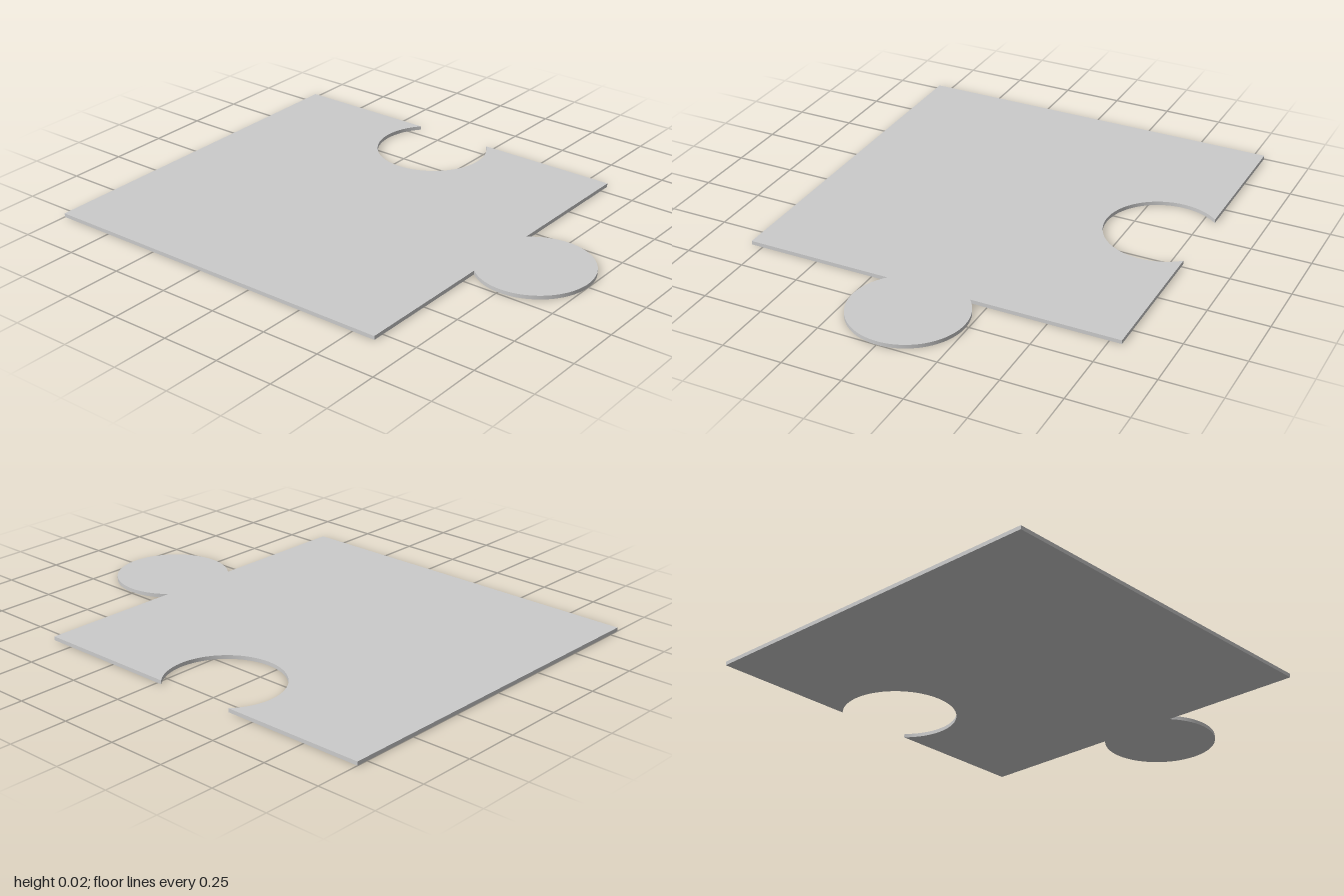
import * as THREE from 'three';
import { toCreasedNormals } from 'three/addons/utils/BufferGeometryUtils.js';

const HALF = 0.8;        // half the side of the square body
const RADIUS = 0.24;     // radius of the tab and the socket
const OFFSET = 0.16;     // distance of each circle's centre from the edge
const THICKNESS = 0.016;

export function createModel() {
  const group = new THREE.Group();
  group.name = 'puzzlePiece';

  // Outline in plan; the shape's y becomes -z once laid flat
  const front = -0.6, back = 1, middle = (front + back) / 2;
  const tabAngle = Math.asin(OFFSET / RADIUS);
  const socketAngle = Math.acos(OFFSET / RADIUS);

  const outline = new THREE.Shape();
  outline.moveTo(-HALF, back);
  outline.lineTo(-HALF, front);
  // Round tab on the front edge
  outline.absarc(0, front - OFFSET, RADIUS, Math.PI - tabAngle, 2 * Math.PI + tabAngle, false);
  outline.lineTo(HALF, front);
  // Round socket cut into the left (+x) edge
  outline.absarc(HALF - OFFSET, middle, RADIUS, -socketAngle, socketAngle - 2 * Math.PI, true);
  outline.lineTo(HALF, back);
  outline.closePath();

  // Thin flat plate with smooth rims on the curves
  const plate = new THREE.ExtrudeGeometry(outline, {
    depth: THICKNESS, bevelEnabled: false, curveSegments: 48,
  });
  plate.rotateX(-Math.PI / 2);

  const piece = new THREE.Mesh(
    toCreasedNormals(plate, Math.PI / 6),
    new THREE.MeshStandardMaterial({ color: 0xcccccc }),
  );
  piece.name = 'plate';
  group.add(piece);
  return group;
}
